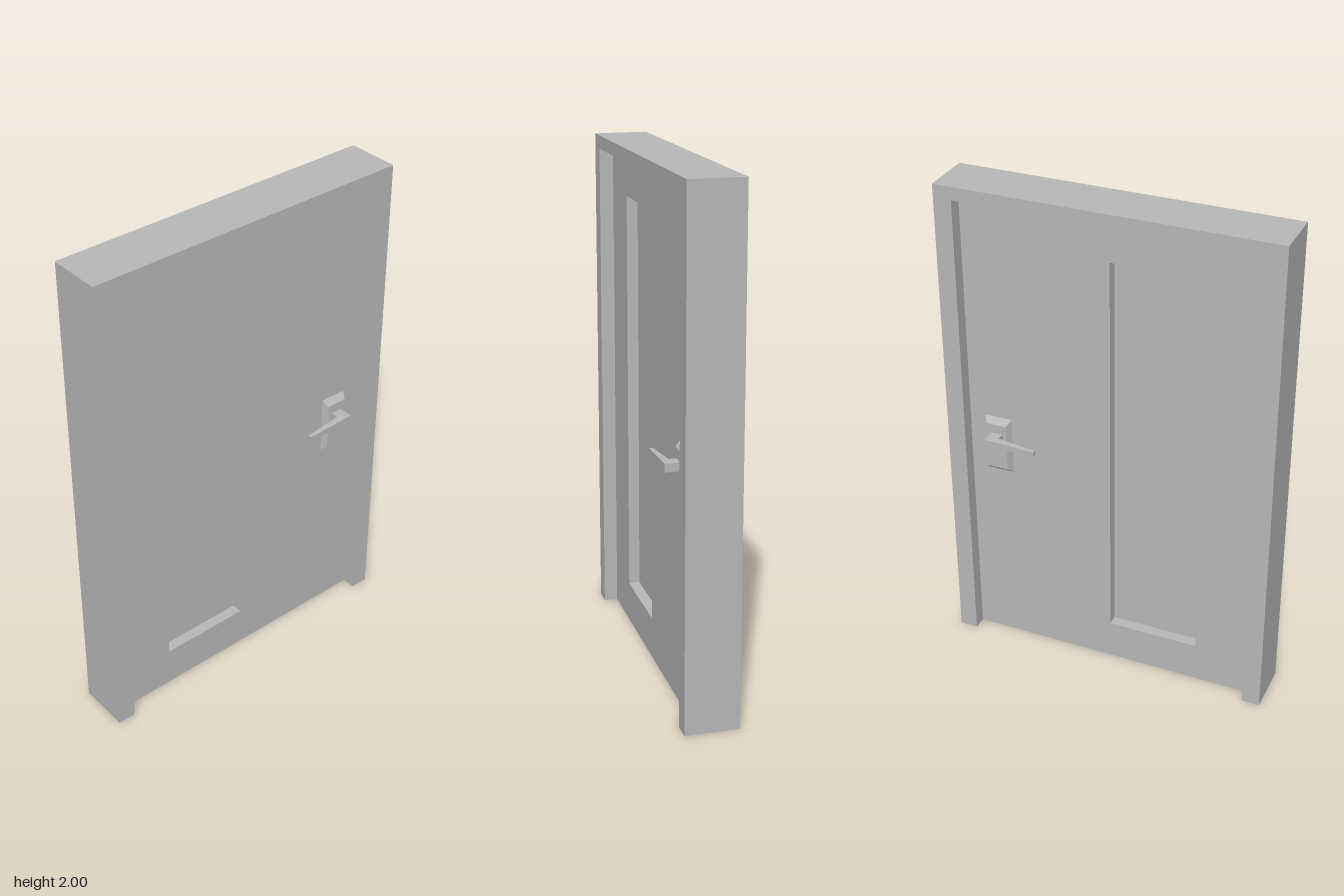
import * as THREE from 'three';

const grey = new THREE.MeshStandardMaterial({ color: 0xb8b8b8 });
grey.name = 'plain grey';

const shapeOf = (pts) => new THREE.Shape(pts.map(([x, y]) => new THREE.Vector2(x, y)));

// Flat shape extruded symmetrically about z = 0
function slab(shape, depth) {
  const g = new THREE.ExtrudeGeometry(shape, { depth, bevelEnabled: false });
  g.translate(0, 0, -depth / 2);
  return g;
}

function add(parent, name, geometry) {
  const mesh = new THREE.Mesh(geometry, grey);
  mesh.name = name;
  parent.add(mesh);
  return mesh;
}

// Backplate with sloping edges; base at z = 0, face towards +z
function plateGeometry(w, h, d, insetX, insetY) {
  const g = new THREE.BoxGeometry(w, h, d).toNonIndexed();
  const p = g.attributes.position;
  for (let i = 0; i < p.count; i++) {
    if (p.getZ(i) > 0) {
      p.setX(i, p.getX(i) - Math.sign(p.getX(i)) * insetX);
      p.setY(i, p.getY(i) - Math.sign(p.getY(i)) * insetY);
    }
  }
  g.translate(0, 0, d / 2);
  g.computeVertexNormals();
  return g;
}

// L-shaped lever seen from above, thinning in height towards the tip
function leverGeometry() {
  const tip = 0.284, end = 0.493, stem = 0.445;
  const outline = shapeOf([
    [end, -0.07], [end, -0.133], [tip, -0.133],
    [tip, -0.118], [stem, -0.105], [stem, -0.07],
  ]);
  const g = slab(outline, 0.033);
  g.rotateX(-Math.PI / 2);
  const p = g.attributes.position;
  for (let i = 0; i < p.count; i++) {
    const t = Math.min(1, (p.getX(i) - tip) / (stem - tip));
    p.setY(i, p.getY(i) * (0.5 + 0.5 * t));
  }
  g.computeVertexNormals();
  return g;
}

export function createModel() {
  const model = new THREE.Group();
  model.name = 'door';

  // Frame: two jambs and a head, open at the floor
  add(model, 'frame', slab(shapeOf([
    [-0.665, 0], [-0.592, 0], [-0.592, 1.948], [0.592, 1.948],
    [0.592, 0], [0.665, 0], [0.665, 2], [-0.665, 2],
  ]), 0.21));

  // Door leaf with a tall window opening
  const leaf = shapeOf([[-0.592, 0], [0.592, 0], [0.592, 1.948], [-0.592, 1.948]]);
  leaf.holes.push(shapeOf([[-0.37, 0.165], [-0.37, 1.79], [0, 1.79], [0, 0.165]]));
  add(model, 'doorLeaf', slab(leaf, 0.1));

  // Recessed pane
  add(model, 'pane', new THREE.BoxGeometry(0.37, 1.625, 0.012)).position.set(-0.185, 0.9775, 0);

  // Handle set on both faces
  for (const side of [1, -1]) {
    const handle = new THREE.Group();
    handle.name = side > 0 ? 'frontHandle' : 'backHandle';
    const turn = side > 0 ? 0 : Math.PI;

    const plate = add(handle, 'backplate', plateGeometry(0.11, 0.24, 0.025, 0.013, 0.022));
    plate.position.set(0.47, 0.92, side * 0.05);
    plate.rotation.x = turn;

    const lever = add(handle, 'lever', leverGeometry());
    lever.position.y = 0.963;
    lever.rotation.x = turn;

    model.add(handle);
  }
  return model;
}
